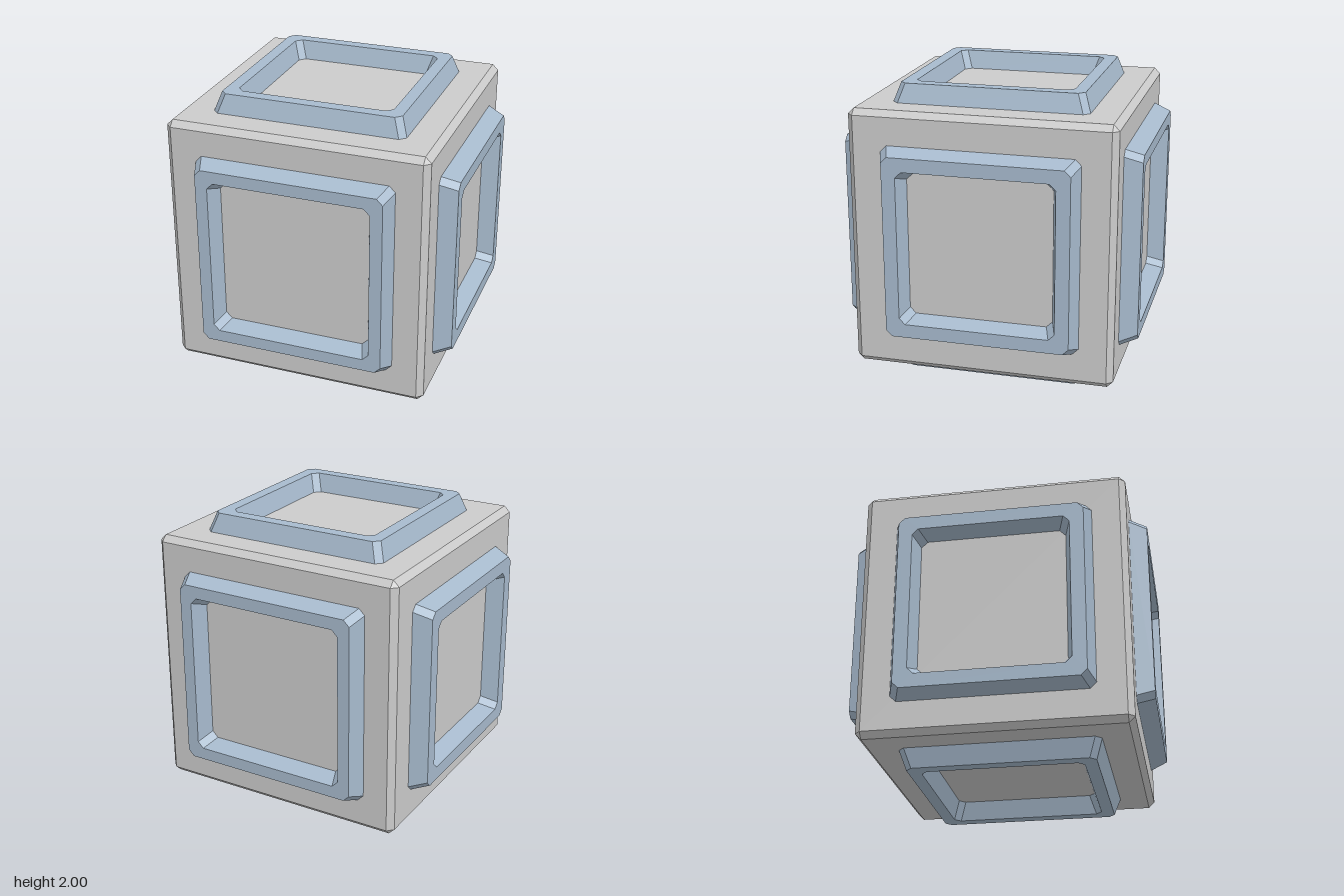
import * as THREE from 'three';
import { ConvexGeometry } from 'three/addons/geometries/ConvexGeometry.js';

const HALF = 0.876; // half width of the cube
const BEVEL = 0.04; // edge bevel and corner cut

// Square with cut corners, counter-clockwise, at height z
function cutSquare(r, z) {
  const c = r - BEVEL;
  return [[r, -c], [r, c], [c, r], [-c, r], [-r, c], [-r, -c], [-c, -r], [c, -r]]
    .map(([x, y]) => [x, y, z]);
}

// Square ring facing +z, lofted from outer foot to inner foot
function frameGeometry({ outer, outerTop, innerTop, inner, top }) {
  const loops = [
    cutSquare(outer, HALF), cutSquare(outerTop, top),
    cutSquare(innerTop, top), cutSquare(inner, HALF),
  ];
  const positions = [];
  for (let k = 0; k < loops.length - 1; k++) {
    for (let i = 0; i < 8; i++) {
      const j = (i + 1) % 8;
      const [a, b, c, d] = [loops[k][i], loops[k][j], loops[k + 1][j], loops[k + 1][i]];
      positions.push(...a, ...b, ...c, ...a, ...c, ...d);
    }
  }
  const geometry = new THREE.BufferGeometry();
  geometry.setAttribute('position', new THREE.Float32BufferAttribute(positions, 3));
  geometry.computeVertexNormals();
  return geometry;
}

// Cube with bevelled edges and triangular corners
function bodyGeometry() {
  const points = [];
  const s = HALF - BEVEL;
  for (const x of [-1, 1]) for (const y of [-1, 1]) for (const z of [-1, 1]) {
    points.push(
      new THREE.Vector3(x * HALF, y * s, z * s),
      new THREE.Vector3(x * s, y * HALF, z * s),
      new THREE.Vector3(x * s, y * s, z * HALF),
    );
  }
  return new ConvexGeometry(points);
}

export function createModel() {
  const model = new THREE.Group();
  model.name = 'crate';
  const grey = new THREE.MeshStandardMaterial({ color: 0xcccccc, flatShading: true });
  const blue = new THREE.MeshStandardMaterial({ color: 0xa7bacd, flatShading: true });

  const body = new THREE.Mesh(bodyGeometry(), grey);
  body.name = 'body';
  body.position.y = 1;
  model.add(body);

  // One raised frame on each face; sizes differ slightly per axis
  const zFrame = frameGeometry({ outer: 0.667, outerTop: 0.625, innerTop: 0.543, inner: 0.503, top: 0.993 });
  const xFrame = frameGeometry({ outer: 0.652, outerTop: 0.61, innerTop: 0.518, inner: 0.48, top: 0.993 });
  const yFrame = frameGeometry({ outer: 0.65, outerTop: 0.608, innerTop: 0.525, inner: 0.484, top: 1 });
  const q = Math.PI / 2;
  const frames = [
    ['frontFrame', zFrame, 0, 0], ['backFrame', zFrame, 0, 2 * q],
    ['leftFrame', xFrame, 0, q], ['rightFrame', xFrame, 0, -q],
    ['topFrame', yFrame, -q, 0], ['bottomFrame', yFrame, q, 0],
  ];
  for (const [name, geometry, rx, ry] of frames) {
    const frame = new THREE.Mesh(geometry, blue);
    frame.name = name;
    frame.rotation.set(rx, ry, 0);
    frame.position.y = 1;
    model.add(frame);
  }
  return model;
}
